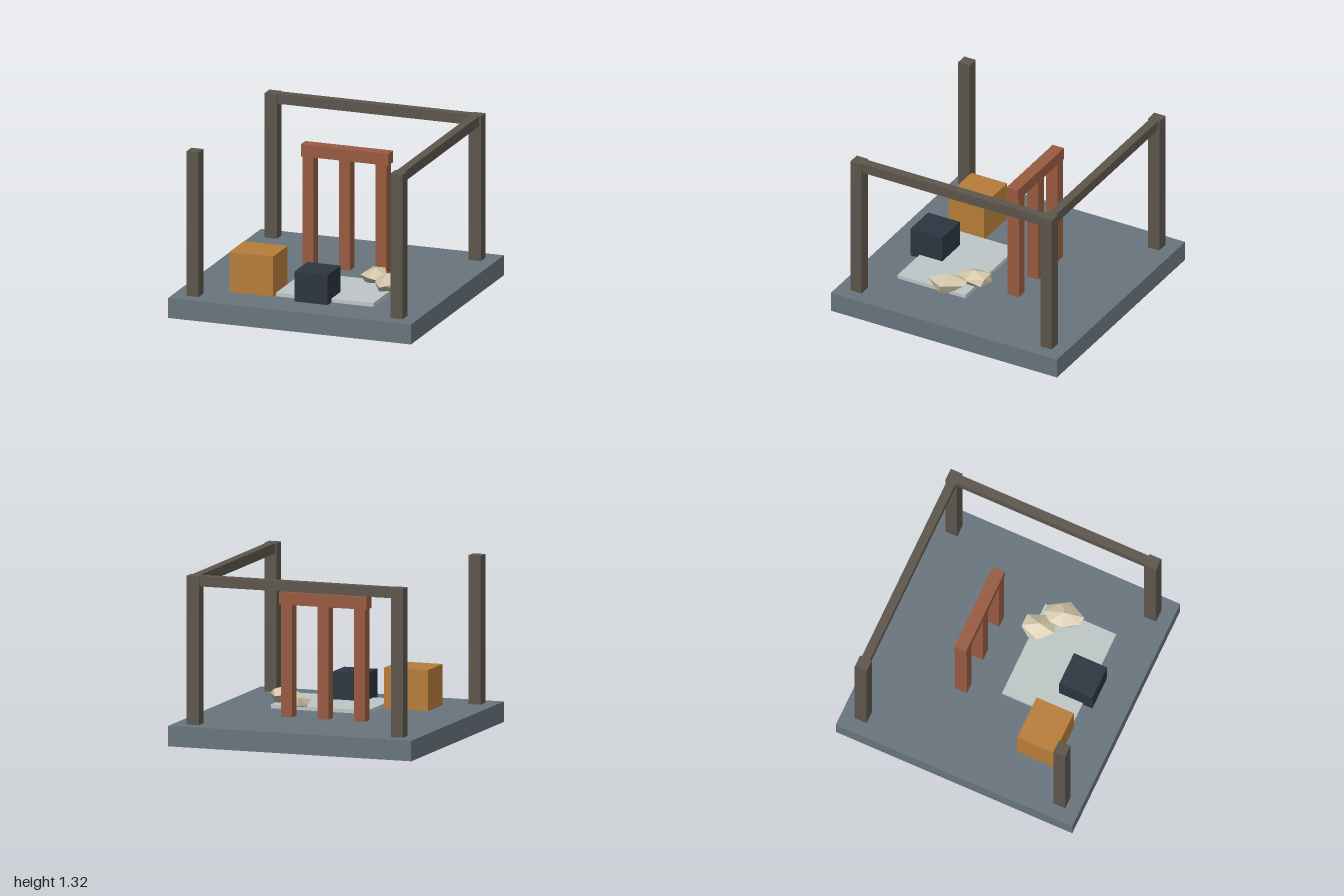
import * as THREE from 'three';
import { ConvexGeometry } from 'three/addons/geometries/ConvexGeometry.js';

const paint = (name, color) => {
  const m = new THREE.MeshStandardMaterial({ color });
  m.name = name;
  return m;
};

export function createModel() {
  const model = new THREE.Group();
  model.name = 'courtyard';

  const slate = paint('slate', 0x69757e);
  const timber = paint('dark timber', 0x5d564c);
  const brick = paint('brick red', 0x9a5b41);
  const ochre = paint('ochre', 0xb87e3a);
  const navy = paint('navy', 0x2c3541);
  const pale = paint('pale grey', 0xc0c7c8);
  const stone = paint('sandstone', 0xd3c7ab);

  // Box given by its low and high limits on each axis
  const box = (name, material, [x0, x1], [y0, y1], [z0, z1]) => {
    const mesh = new THREE.Mesh(new THREE.BoxGeometry(x1 - x0, y1 - y0, z1 - z0), material);
    mesh.position.set((x0 + x1) / 2, (y0 + y1) / 2, (z0 + z1) / 2);
    mesh.name = name;
    model.add(mesh);
  };
  const around = (c, half) => [c - half, c + half];
  const floor = 0.16;

  // Base slab
  box('baseSlab', slate, [-1, 1], [0, floor], [-1, 1]);

  // Corner posts with a beam along the back and the left side
  for (const x of [-0.84, 0.84])
    for (const z of [-0.84, 0.84])
      box('cornerPost', timber, around(x, 0.05), [floor, 1.32], around(z, 0.05));
  box('backBeam', timber, [-0.79, 0.79], [1.24, 1.32], around(-0.84, 0.035));
  box('sideBeam', timber, around(0.84, 0.035), [1.24, 1.32], [-0.79, 0.79]);

  // Three-legged gateway
  for (const x of [-0.303, -0.003, 0.297])
    box('gatePost', brick, around(x, 0.045), [floor, 1.035], [-0.29, -0.19]);
  box('gateLintel', brick, [-0.363, 0.358], [1.035, 1.13], [-0.29, -0.19]);

  // Crates and floor panel
  box('floorPanel', pale, [-0.24, 0.56], [floor, 0.19], [0.06, 0.66]);
  box('largeCrate', ochre, [-0.62, -0.26], [floor, 0.48], [0.36, 0.675]);
  box('smallCrate', navy, [-0.06, 0.215], [floor, 0.4], [0.46, 0.74]);

  // Faceted rocks, each the hull of a few corner points
  const rocks = {
    smallRock: [
      [0.36, 0.3, 0.10], [0.30, 0.27, -0.02], [0.40, 0.27, -0.02], [0.43, 0.21, 0],
      [0.46, 0.25, 0.12], [0.43, 0.23, 0.21], [0.35, 0.25, 0.23], [0.25, 0.24, 0.13],
      [0.255, 0.2, 0.05], [0.31, 0.2, -0.03], [0.30, 0.17, 0.13], [0.40, 0.17, 0.10],
    ],
    largeRock: [
      [0.515, 0.31, 0.24], [0.48, 0.26, 0.085], [0.54, 0.25, 0.09], [0.585, 0.29, 0.19],
      [0.635, 0.25, 0.24], [0.56, 0.25, 0.39], [0.5, 0.23, 0.38], [0.42, 0.24, 0.26],
      [0.42, 0.25, 0.15], [0.61, 0.18, 0.27], [0.555, 0.16, 0.2], [0.48, 0.165, 0.32],
      [0.46, 0.17, 0.2],
    ],
  };
  for (const [name, corners] of Object.entries(rocks)) {
    const points = corners.map((c) => new THREE.Vector3(...c));
    const rock = new THREE.Mesh(new ConvexGeometry(points), stone);
    rock.name = name;
    model.add(rock);
  }

  return model;
}
